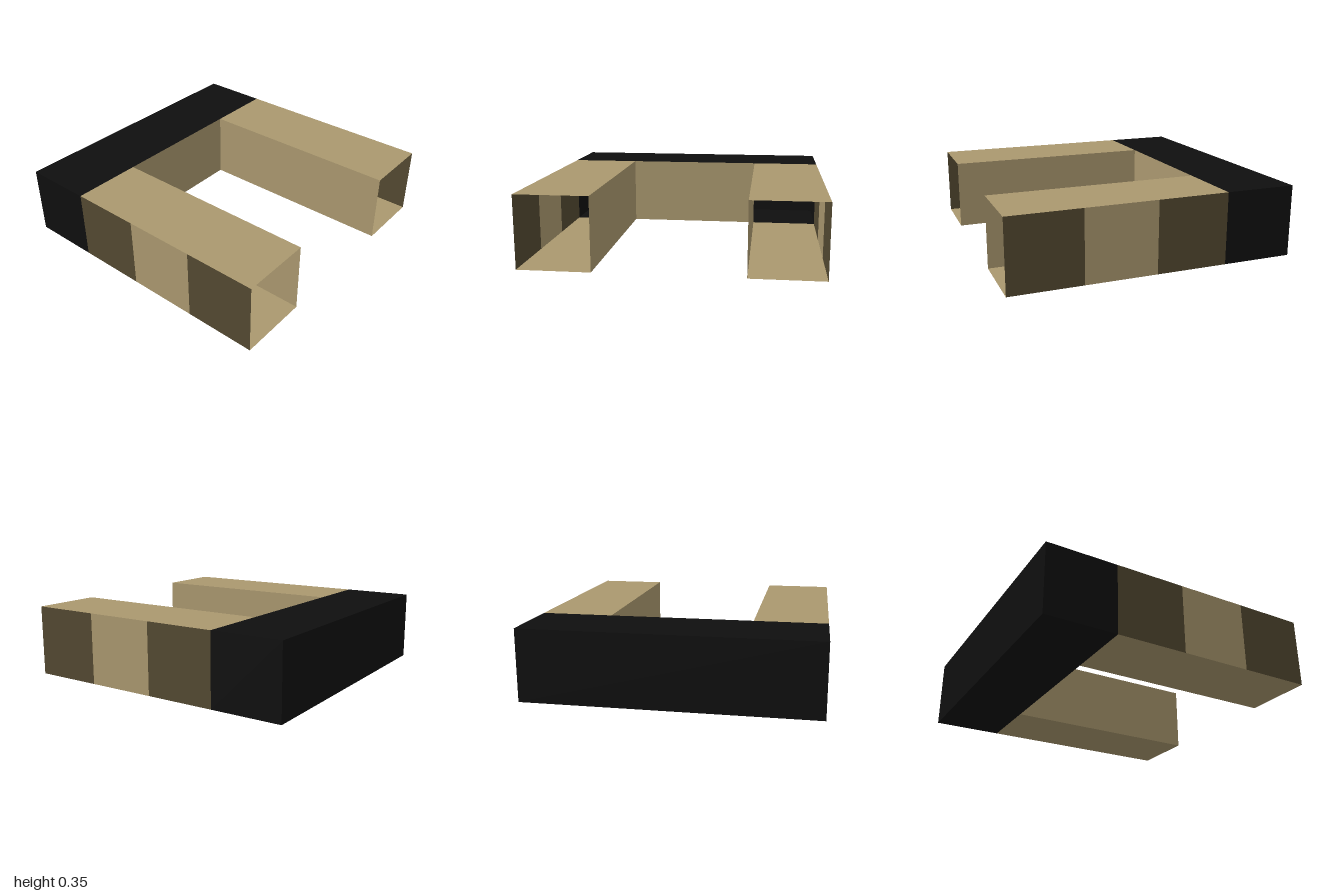
import * as THREE from 'three';

const U = 0.35355; // module: height and corridor width; the plan is 4 x 4 modules

export function createModel() {
  const mat = (name, color) => {
    const m = new THREE.MeshStandardMaterial({ color, side: THREE.DoubleSide });
    m.name = name;
    return m;
  };
  const tan = mat('tan', 0xaa986f);
  const brown = mat('dark brown', 0x534931);
  const black = mat('black', 0x0f0f0f);

  const model = new THREE.Group();
  model.name = 'model';
  // The U-shaped plan stands diagonally, opening towards +x +z
  const plan = new THREE.Group();
  plan.name = 'uShapedBuilding';
  plan.rotation.y = Math.PI / 4;
  plan.scale.setScalar(U);
  model.add(plan);

  const add = (name, material, w, h, x, y, z, rx, ry) => {
    const mesh = new THREE.Mesh(new THREE.PlaneGeometry(w, h), material);
    mesh.name = name;
    mesh.position.set(x, y, z);
    mesh.rotation.set(rx, ry, 0);
    plan.add(mesh);
  };
  // Upright panel facing the angle ry, and a roof and floor pair
  const wall = (name, material, w, x, z, ry) => add(name, material, w, 1, x, 0.5, z, 0, ry);
  const slabs = (name, material, w, d, x, z) => {
    add(name + 'Roof', material, w, d, x, 1, z, -Math.PI / 2, 0);
    add(name + 'Floor', material, w, d, x, 0, z, Math.PI / 2, 0);
  };

  // Black rear block with a tan courtyard wall
  slabs('rearBlock', black, 4, 1, 0, -1.5);
  wall('rearWall', black, 4, 0, -2, Math.PI);
  wall('courtyardWall', tan, 2, 0, -1, 0);

  // Two open-ended wings, mirrored
  for (const s of [1, -1]) {
    const side = s > 0 ? 'left' : 'right';
    const out = s * Math.PI / 2;
    wall(side + 'RearEndWall', black, 1, 2 * s, -1.5, out);
    slabs(side + 'Wing', tan, 1, 3, 1.5 * s, 0.5);
    wall(side + 'WingInnerWall', tan, 3, s, 0.5, -out);
    // Outer wall in three bands
    [brown, tan, brown].forEach((m, i) =>
      wall(side + 'WingOuterPanel' + (i + 1), m, 1, 2 * s, i - 0.5, out));
  }
  return model;
}
